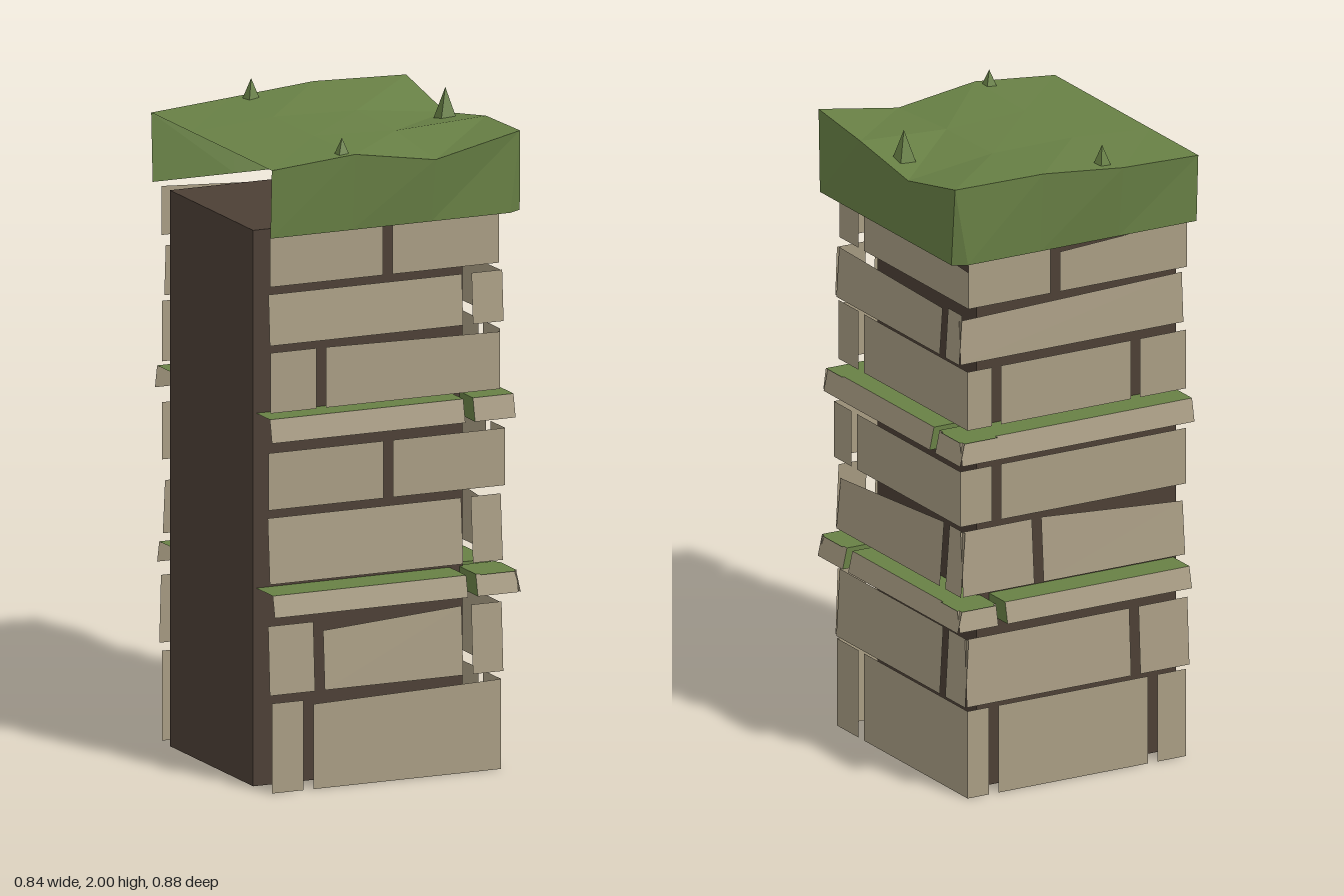
import * as THREE from 'three';

const brickMat = new THREE.MeshStandardMaterial({ name: 'sandstone', color: 0xa89c83, flatShading: true, side: THREE.DoubleSide });
const coreMat = new THREE.MeshStandardMaterial({ name: 'darkMortar', color: 0x4c3f35, flatShading: true });
const mossMat = new THREE.MeshStandardMaterial({ name: 'mossGreen', color: 0x688045, flatShading: true, side: THREE.DoubleSide });

// Core block that the thin brick shells stand in front of
const CORE = { left: -0.42, right: 0.27, z: 0.29, top: 1.7 };
const JOINT = 0.032;

// Maps (along, height, outward distance) to a point on each wall
const WALLS = {
  front: (a, y, d) => [a, y, d],
  right: (a, y, d) => [d, y, a],
  back: (a, y, d) => [a, y, -d],
};

// Triangles from a list of quads or triangles, each wound counter-clockwise
function facesMesh(name, faces, mat) {
  const pos = [];
  for (const f of faces) {
    for (let i = 1; i < f.length - 1; i++) pos.push(...f[0], ...f[i], ...f[i + 1]);
  }
  const g = new THREE.BufferGeometry();
  g.setAttribute('position', new THREE.Float32BufferAttribute(pos, 3));
  g.computeVertexNormals();
  const m = new THREE.Mesh(g, mat);
  m.name = name;
  return m;
}

// Per course: bottom, top, wall distances, lean towards the core, joint centres.
// tilt drops the start (negative) or the end (positive) of a wall's long bricks.
const COURSES = [
  { y: 0, top: 0.275, front: 0.4, right: 0.345, back: 0.365, lean: 0, frontJoints: [-0.29], backJoints: [0.255, -0.295], tilt: { front: -0.015 } },
  { y: 0.295, top: 0.505, front: 0.385, right: 0.365, back: 0.385, lean: 0.012, frontJoints: [-0.245, 0.243], backJoints: [-0.225], tilt: { front: -0.03 } },
  { y: 0.54, top: 0.605, front: 0.42, right: 0.4, back: 0.4, lean: 0.015, ledge: true, frontJoints: [0.243], backJoints: [0.243] },
  { y: 0.635, top: 0.835, front: 0.385, right: 0.365, back: 0.36, lean: 0.015, frontJoints: [0.243], backJoints: [0.095], tilt: { right: -0.045, back: 0.035 } },
  { y: 0.86, top: 1.035, front: 0.375, right: 0.37, back: 0.365, lean: 0, frontJoints: [-0.015], backJoints: [0.245] },
  { y: 1.07, top: 1.14, front: 0.4, right: 0.4, back: 0.415, lean: 0.015, ledge: true, frontJoints: [0.243], backJoints: [] },
  { y: 1.16, top: 1.345, front: 0.39, right: 0.345, back: 0.365, lean: 0, frontJoints: [-0.243], backJoints: [0.245, -0.235], tilt: { front: 0.01 } },
  { y: 1.365, top: 1.52, front: 0.385, right: 0.365, back: 0.35, lean: 0.01, frontJoints: [0.243], backJoints: [], tilt: { right: 0.01, back: -0.02 } },
  { y: 1.545, top: 1.695, front: 0.385, right: 0.345, back: 0.37, lean: 0, frontJoints: [-0.022], backJoints: [0.045], tilt: { right: 0.035, back: -0.025 } },
];

// Bricks of one wall, left to right as seen from outside, split at the joints
function splitWall(start, end, joints) {
  const side = Math.sign(end - start) * JOINT / 2;
  const starts = [start, ...joints.map((j) => j + side)];
  const ends = [...joints.map((j) => j - side), end];
  return starts.map((s, i) => [s, ends[i]]);
}

function buildCourse(course, index) {
  const group = new THREE.Group();
  group.name = (course.ledge ? 'ledgeCourse' : 'brickCourse') + (index + 1);
  // Corner bond alternates: the right wall's joint swaps ends every course
  const bricksOf = {
    front: splitWall(-0.41, course.right - course.lean / 2, course.frontJoints),
    right: splitWall(course.front - (index % 2) * 0.015, -course.back, [index % 2 ? -0.252 : 0.258]),
    back: splitWall(course.right - course.lean / 2, -0.41, course.backJoints),
  };
  for (const [wall, at] of Object.entries(WALLS)) {
    const bottom = course[wall];
    const upper = bottom - course.lean;
    const inner = wall === 'right' ? CORE.right : CORE.z;
    const tilt = course.tilt?.[wall] ?? 0;
    const bricks = bricksOf[wall];
    bricks.forEach(([a0, a1], i) => {
      const drop = Math.abs(a1 - a0) > 0.3 ? tilt : 0;
      const t0 = course.top + Math.min(drop, 0);
      const t1 = course.top - Math.max(drop, 0);
      const face = [at(a0, course.y, bottom), at(a1, course.y, bottom), at(a1, t1, upper), at(a0, t0, upper)];
      group.add(facesMesh(wall + 'Brick', [face], brickMat));
      if (!course.ledge) return;
      // Moss on top of the ledge and down the joint ends
      const moss = [[at(a0, t0, upper), at(a1, t1, upper), at(a1, t1, inner), at(a0, t0, inner)]];
      const end = (a) => [at(a, course.y, bottom), at(a, course.y, inner), at(a, course.top, inner), at(a, course.top, upper)];
      if (i > 0) moss.push(end(a0).reverse());
      if (i < bricks.length - 1) moss.push(end(a1));
      group.add(facesMesh(wall + 'LedgeMoss', moss, mossMat));
    });
  }
  return group;
}

// Sagging moss cap, open below and on the left-hand end
function buildCap() {
  const cap = new THREE.Group();
  cap.name = 'mossCap';
  // Four rows from back to front
  const top = [
    [[-0.42, 1.91, -0.42], [-0.15, 1.925, -0.44], [0.12, 1.95, -0.43], [0.415, 1.945, -0.41]],
    [[-0.42, 1.91, -0.14], [-0.15, 1.93, -0.14], [0.12, 1.925, -0.13], [0.412, 1.89, -0.13]],
    [[-0.42, 1.91, 0.14], [-0.15, 1.93, 0.14], [0.12, 1.92, 0.14], [0.418, 1.935, 0.14]],
    [[-0.42, 1.91, 0.42], [-0.15, 1.935, 0.43], [0.11, 1.895, 0.44], [0.40, 1.95, 0.415]],
  ];
  const topFaces = [];
  for (let r = 0; r < 3; r++) {
    for (let c = 0; c < 3; c++) {
      topFaces.push([top[r + 1][c], top[r + 1][c + 1], top[r][c + 1], top[r][c]]);
    }
  }
  cap.add(facesMesh('capTop', topFaces, mossMat));

  // Hanging skirts, slightly narrowed at the corners with a fold between
  const front = { upper: top[3], lower: [-0.42, -0.15, 0.11, 0.37].map((x) => [x, 1.7, 0.41]) };
  const right = { upper: [3, 2, 1, 0].map((r) => top[r][3]), lower: [0.385, 0.14, -0.13, -0.385].map((z) => [0.413, 1.7, z]) };
  const back = { upper: [...top[0]].reverse(), lower: [0.37, 0.12, -0.15, -0.42].map((x) => [x, 1.7, -0.41]) };
  for (const [name, { upper, lower }] of Object.entries({ front, right, back })) {
    const faces = [0, 1, 2].map((i) => [lower[i], lower[i + 1], upper[i + 1], upper[i]]);
    cap.add(facesMesh(name + 'Skirt', faces, mossMat));
  }
  cap.add(facesMesh('cornerFolds', [
    [front.lower[3], right.lower[0], top[3][3]],
    [right.lower[3], back.lower[0], top[0][3]],
  ], mossMat));

  // Small tufts: x, z, tip height, turn
  for (const [x, z, tip, turn] of [[-0.105, -0.39, 1.99, 0.15], [0.35, 0, 2.0, 0], [-0.175, 0.39, 1.98, 0]]) {
    const height = tip - 1.89;
    const tuft = new THREE.Mesh(new THREE.ConeGeometry(0.042, height, 4), mossMat);
    tuft.geometry.rotateY(Math.PI / 4 + turn);
    tuft.position.set(x, 1.89 + height / 2, z);
    tuft.name = 'mossTuft';
    cap.add(tuft);
  }
  return cap;
}

export function createModel() {
  const model = new THREE.Group();
  model.name = 'brickPillar';
  const width = CORE.right - CORE.left;
  const core = new THREE.Mesh(new THREE.BoxGeometry(width, CORE.top, CORE.z * 2), coreMat);
  core.position.set((CORE.left + CORE.right) / 2, CORE.top / 2, 0);
  core.name = 'mortarCore';
  model.add(core);
  COURSES.forEach((course, i) => model.add(buildCourse(course, i)));
  model.add(buildCap());
  return model;
}
